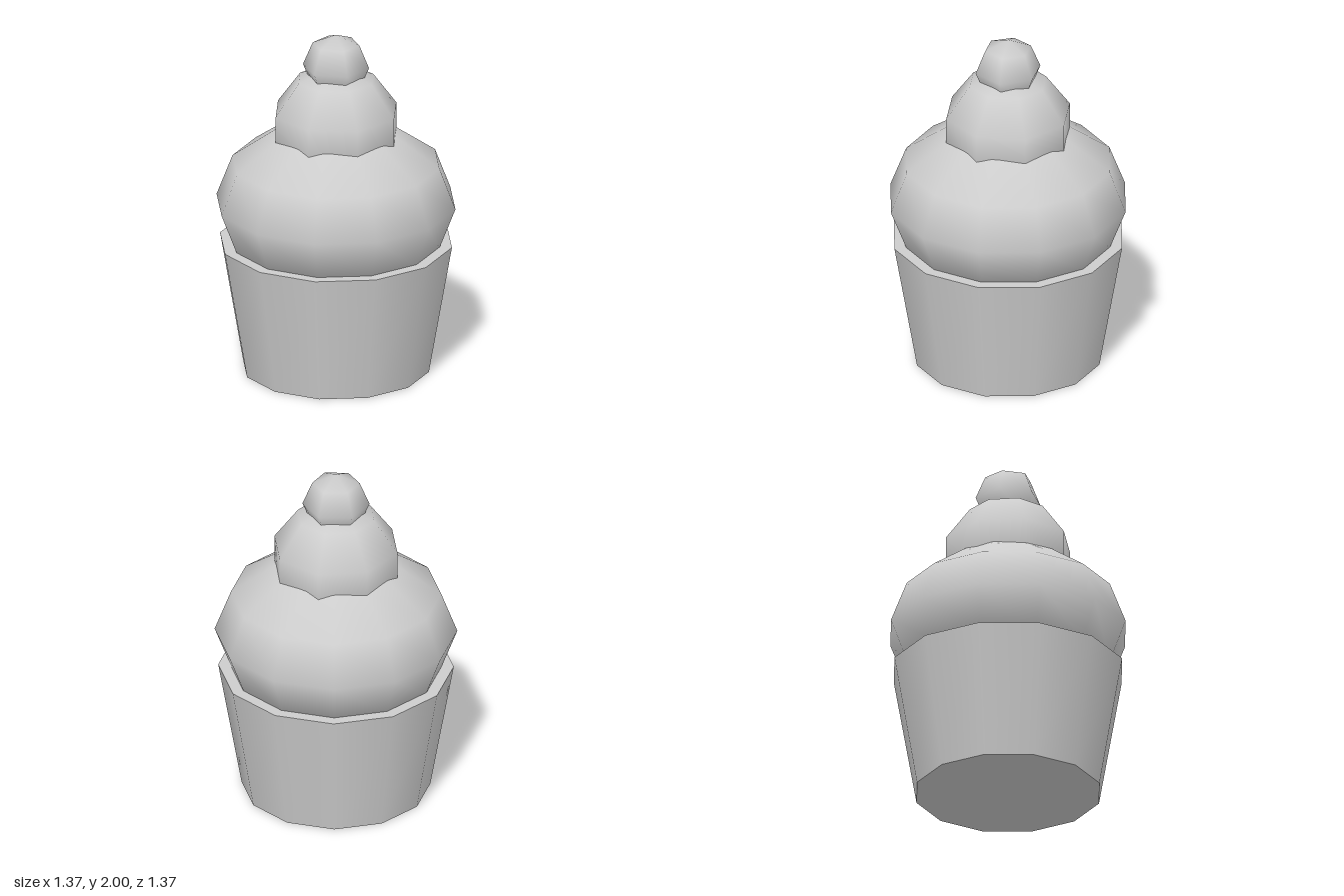
import * as THREE from 'three';

export function createModel() {
  const group = new THREE.Group();
  group.name = 'cupcake';
  const grey = new THREE.MeshStandardMaterial({ color: 0xcccccc });
  grey.name = 'plain grey';

  const add = (name, geometry, y) => {
    const mesh = new THREE.Mesh(geometry, grey);
    mesh.name = name;
    mesh.position.y = y;
    group.add(mesh);
  };

  // Low-poly ball, optionally squashed, with a corner facing the front
  const ball = (radius, height, sides, rings) =>
    new THREE.SphereGeometry(radius, sides, rings, Math.PI / 2).scale(1, height / radius, 1);

  // Tapered twelve-sided cup with flat ends
  add('cup', new THREE.CylinderGeometry(0.664, 0.532, 0.76, 12), 0.38);

  // Icing in two tiers, with a cherry on top
  add('lowerIcing', ball(0.684, 0.48, 12, 6), 0.992);
  add('upperIcing', ball(0.38, 0.38, 8, 5), 1.427);
  add('cherry', ball(0.189, 0.189, 6, 4), 1.811);

  return group;
}
